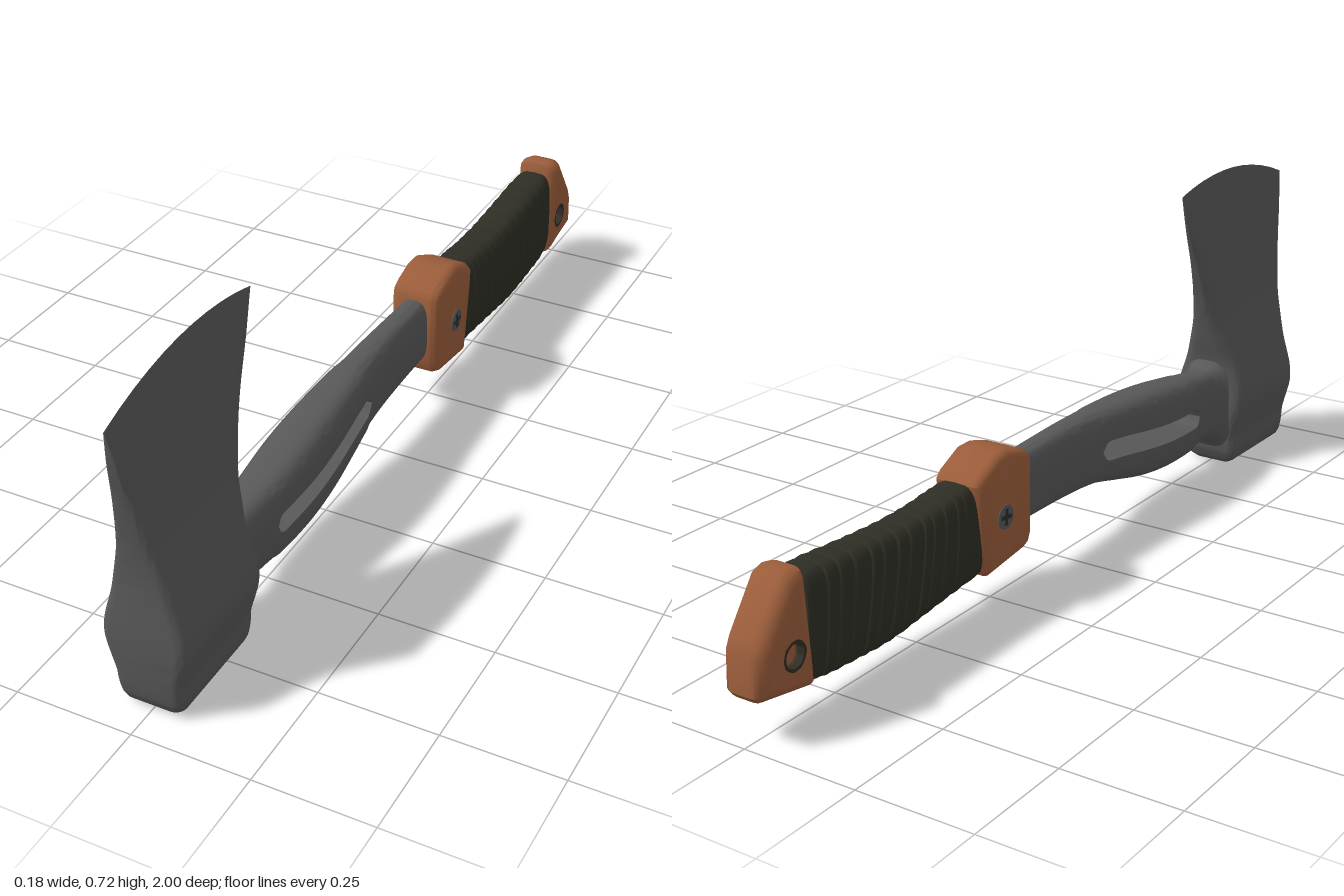
import * as THREE from 'three';
import { toCreasedNormals } from 'three/addons/utils/BufferGeometryUtils.js';

const mat = (name, color) => {
  const m = new THREE.MeshStandardMaterial({ color });
  m.name = name;
  return m;
};

// smooth interpolation through a small table of [position, value, value, ...] rows
function table(rows, z, k) {
  const n = rows.length;
  let i = 0;
  while (i < n - 2 && z > rows[i + 1][0]) i++;
  const slope = j => {
    const a = rows[Math.max(j - 1, 0)], b = rows[Math.min(j + 1, n - 1)];
    return (b[k] - a[k]) / (b[0] - a[0]);
  };
  const a = rows[i], b = rows[i + 1], d = b[0] - a[0];
  const t = THREE.MathUtils.clamp((z - a[0]) / d, 0, 1), t2 = t * t, t3 = t2 * t;
  return (2 * t3 - 3 * t2 + 1) * a[k] + (t3 - 2 * t2 + t) * d * slope(i)
    + (3 * t2 - 2 * t3) * b[k] + (t3 - t2) * d * slope(i + 1);
}

// closed skin over rings of [x, y, z], capped at both ends and wound outwards
function loft(rings, crease) {
  const n = rings[0].length, pts = rings.flat(), idx = [];
  for (let r = 0; r < rings.length - 1; r++) {
    for (let i = 0; i < n; i++) {
      const a = r * n + i, b = r * n + (i + 1) % n;
      idx.push(a, b, b + n, a, b + n, a + n);
    }
  }
  [[rings[0], 0], [rings.at(-1), (rings.length - 1) * n]].forEach(([ring, s], end) => {
    const c = pts.length;
    pts.push([0, 1, 2].map(k => ring.reduce((sum, p) => sum + p[k], 0) / n));
    for (let i = 0; i < n; i++) {
      const a = s + i, b = s + (i + 1) % n;
      end ? idx.push(c, a, b) : idx.push(c, b, a);
    }
  });
  let volume = 0;
  const v = i => new THREE.Vector3(...pts[i]);
  for (let i = 0; i < idx.length; i += 3) volume += v(idx[i]).dot(v(idx[i + 1]).cross(v(idx[i + 2])));
  if (volume < 0) idx.reverse();
  const g = new THREE.BufferGeometry();
  g.setAttribute('position', new THREE.Float32BufferAttribute(pts.flat(), 3));
  g.setIndex(idx);
  return toCreasedNormals(g, crease);
}

const power = (v, e) => Math.sign(v) * Math.abs(v) ** e;

// side outline of [z, y] points, thickened across x with rounded edges
function slab(points, halfWidth, bevel, hole) {
  const shape = new THREE.Shape(points.map(([z, y]) => new THREE.Vector2(-z, y)));
  if (hole) {
    const path = new THREE.Path();
    path.absarc(-hole.z, hole.y, 0.005, 0, Math.PI * 2, true);
    shape.holes.push(path);
  }
  const depth = 2 * (halfWidth - bevel);
  const g = new THREE.ExtrudeGeometry(shape, {
    depth, bevelThickness: bevel, bevelSize: bevel, bevelOffset: -bevel, bevelSegments: 5, curveSegments: 20,
  });
  g.translate(0, 0, -depth / 2).rotateY(Math.PI / 2);
  if (hole) {
    // straighten the bevelled hole into a plain bore
    const p = g.attributes.position;
    for (let i = 0; i < p.count; i++) {
      const dz = p.getZ(i) - hole.z, dy = p.getY(i) - hole.y, d = Math.hypot(dz, dy);
      if (d < 0.045) p.setXYZ(i, p.getX(i), hole.y + dy / d * hole.r, hole.z + dz / d * hole.r);
    }
  }
  return toCreasedNormals(g, 0.7);
}

// axe head: rows of height, back z, front z, half width, depth of the back rounding
function headGeometry() {
  const rows = [
    [0.005, 0.695, 0.915, 0.045, 0.015], [0.02, 0.68, 0.93, 0.064, 0.02], [0.05, 0.672, 0.938, 0.071, 0.02],
    [0.085, 0.668, 0.942, 0.072, 0.02], [0.12, 0.662, 0.944, 0.08, 0.02], [0.16, 0.66, 0.945, 0.089, 0.022],
    [0.2, 0.66, 0.945, 0.087, 0.022], [0.27, 0.655, 0.943, 0.068, 0.035], [0.32, 0.64, 0.943, 0.058, 0.06],
    [0.4, 0.62, 0.95, 0.042, 0.09], [0.52, 0.585, 0.968, 0.025, 0.1], [0.63, 0.545, 0.988, 0.012, 0.1],
    [0.72, 0.52, 1, 0.001, 0.1],
  ];
  const rings = [];
  const steps = 44;
  for (let s = 0; s <= steps; s++) {
    const y = THREE.MathUtils.lerp(0.005, 0.72, (s / steps) ** 1.25);
    const [zb, zf, w, rb] = [1, 2, 3, 4].map(k => table(rows, y, k));
    const r = Math.min(0.022, w * 0.5), half = [];
    for (let i = 0; i <= 5; i++) {
      const a = i / 5 * Math.PI / 2;
      half.push([w - r + r * Math.sin(a), zf - r + r * Math.cos(a)]);
    }
    for (let i = 1; i < 8; i++) half.push([w, THREE.MathUtils.lerp(zf - r, zb + rb, i / 8)]);
    const rx = w * THREE.MathUtils.clamp(0.3 + (y - 0.2) * 3, 0.3, 0.75);
    for (let i = 0; i <= 6; i++) {
      const a = i / 6 * Math.PI / 2;
      half.push([w - rx + rx * Math.cos(a), zb + rb - rb * Math.sin(a)]);
    }
    const loop = [...half, ...half.map(([x, z]) => [-x, z]).reverse()];
    // the upper blade stretches up to the curved cutting edge
    rings.push(loop.map(([x, z]) => {
      const top = 0.723 - 0.68 * (z - 0.72) ** 2;
      return [x, y < 0.3 ? y : 0.3 + (y - 0.3) / 0.42 * (top - 0.3), z];
    }));
  }
  return loft(rings, 0.8);
}

// shaft: rows of z, top y, bottom y, half width, slot centre y
const shaftRows = [
  [-0.2, 0.295, 0.143, 0.033, 0.22], [0, 0.303, 0.143, 0.038, 0.22], [0.12, 0.303, 0.136, 0.044, 0.213],
  [0.2, 0.3, 0.118, 0.051, 0.206], [0.3, 0.294, 0.095, 0.058, 0.192], [0.4, 0.284, 0.083, 0.06, 0.181],
  [0.5, 0.27, 0.08, 0.055, 0.175], [0.61, 0.256, 0.086, 0.046, 0.172], [0.645, 0.263, 0.075, 0.052, 0.17],
  [0.685, 0.305, 0.035, 0.078, 0.17],
];

// half of the shaft above (+1) or below (-1) the slot
function shaftHalf(side) {
  const rings = [], r = 0.023, steps = 130;
  for (let s = 0; s <= steps; s++) {
    const z = THREE.MathUtils.lerp(-0.2, 0.685, s / steps);
    const [top, bottom, w, mid] = [1, 2, 3, 4].map(k => table(shaftRows, z, k));
    const past = Math.max(0, Math.abs(z - 0.33) - (0.205 - r)) / r;
    const base = mid + side * r * Math.sqrt(Math.max(0, 1 - past * past));
    const height = (side > 0 ? top : bottom) - base;
    rings.push(Array.from({ length: 19 }, (_, i) => {
      const a = i / 18 * Math.PI;
      return [w * power(Math.cos(a), 0.65), base + height * power(Math.max(0, Math.sin(a)), 0.65), z];
    }));
  }
  return loft(rings, 0.8);
}

// grip: cord turns with grooves between, leaning along the middle
function gripGeometry() {
  const rows = [
    [-0.87, 0.3, 0.085, 0.042], [-0.82, 0.3, 0.075, 0.05], [-0.72, 0.292, 0.068, 0.052], [-0.6, 0.286, 0.064, 0.052],
    [-0.5, 0.288, 0.074, 0.052], [-0.42, 0.295, 0.083, 0.052], [-0.33, 0.3, 0.093, 0.05],
  ];
  const lean = [[0, -0.15], [0.2, 0.13], [0.5, 0.2], [0.8, 0.14], [1, 0.03]];
  const turns = [1.2, 0.8, 1.1, 1, 0.7, 1.2, 0.9, 1.1, 0.8, 1.2, 1, 0.8, 1.1];
  const total = turns.reduce((a, b) => a + b), rings = [];
  let start = 0;
  for (const width of turns) {
    for (const [f, scale] of [[0, 0.92], [0.1, 0.985], [0.5, 1.005], [0.9, 0.985], [1, 0.92]]) {
      const t = (start + width * f) / total, z = THREE.MathUtils.lerp(-0.345, -0.86, t);
      const [top, bottom, w] = [1, 2, 3].map(k => table(rows, z, k));
      const mid = (top + bottom) / 2, h = (top - bottom) / 2 * (1 - (1 - scale) * 0.6), k = table(lean, t, 1);
      rings.push(Array.from({ length: 28 }, (_, i) => {
        const a = i / 28 * Math.PI * 2, dy = h * power(Math.sin(a), 0.5);
        return [w * scale * power(Math.cos(a), 0.5), mid + dy, z + k * dy];
      }));
    }
    start += width;
  }
  return loft(rings, 0.5);
}

export function createModel() {
  const steel = mat('steel grey', 0x585858);
  const orange = mat('copper orange', 0x9b5d3b);
  const cord = mat('dark olive cord', 0x2e2e25);
  const metal = mat('screw grey', 0x55585c);
  const group = new THREE.Group();
  const add = (name, geometry, material) => {
    const mesh = new THREE.Mesh(geometry, material);
    mesh.name = name;
    group.add(mesh);
    return mesh;
  };

  add('axeHead', headGeometry(), steel);
  add('shaftUpper', shaftHalf(1), steel);
  add('shaftLower', shaftHalf(-1), steel);
  add('cordGrip', gripGeometry(), cord);

  // guard between the shaft and the grip
  add('guard', slab([
    [-0.17, 0.3], [-0.18, 0.318], [-0.2, 0.328], [-0.25, 0.343], [-0.285, 0.342], [-0.345, 0.313], [-0.362, 0.295],
    [-0.358, 0.25], [-0.335, 0.1], [-0.325, 0.09], [-0.2, 0.106], [-0.18, 0.115], [-0.17, 0.14],
  ], 0.057, 0.02), orange);

  // pommel with its lanyard hole
  const bore = { z: -0.91, y: 0.163, r: 0.03 };
  add('pommel', slab([
    [-0.862, 0.3], [-0.868, 0.315], [-0.89, 0.32], [-0.915, 0.312], [-0.985, 0.212], [-0.997, 0.185],
    [-1, 0.11], [-0.99, 0.098], [-0.86, 0.076], [-0.846, 0.085], [-0.848, 0.13],
  ], 0.05, 0.03, bore), orange);
  const sleeve = [[0.024, -0.05], [0.031, -0.05], [0.031, 0.05], [0.024, 0.05], [0.024, -0.05]];
  const ring = new THREE.LatheGeometry(sleeve.map(p => new THREE.Vector2(...p)), 28);
  add('lanyardSleeve', toCreasedNormals(ring.rotateZ(Math.PI / 2), 0.6), cord).position.set(0, bore.y, bore.z);

  // cross-headed screws on both sides of the guard
  for (const side of [-1, 1]) {
    const screw = new THREE.CylinderGeometry(0.026, 0.026, 0.02, 24).rotateZ(Math.PI / 2);
    add('guardScrew', screw, metal).position.set(side * 0.049, 0.205, -0.272);
    for (const turn of [0, Math.PI / 2]) {
      const slot = add('screwSlot', new THREE.BoxGeometry(0.004, 0.036, 0.009), cord);
      slot.position.set(side * 0.0585, 0.205, -0.272);
      slot.rotation.x = turn + 0.1;
    }
  }
  return group;
}
